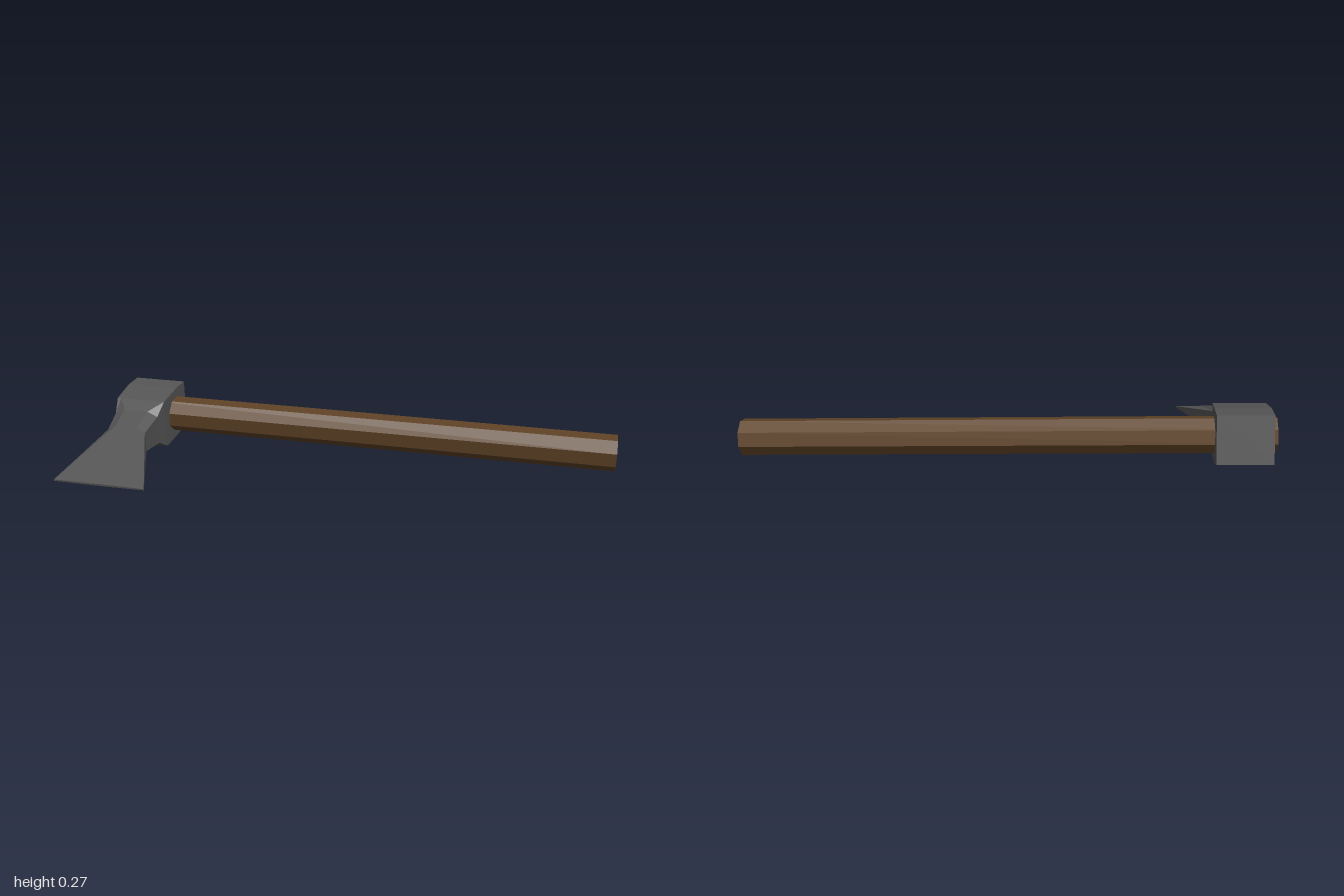
import * as THREE from 'three';

// Closed flat-shaded skin over rings of equal point count, ordered along +z
function loft(rings) {
  const pos = [], idx = [], n = rings[0].length, last = (rings.length - 1) * n;
  rings.forEach(r => r.forEach(p => pos.push(...p)));
  for (let i = 0; i < rings.length - 1; i++) {
    for (let j = 0; j < n; j++) {
      const a = i * n + j, b = i * n + (j + 1) % n;
      idx.push(a, b, b + n, a, b + n, a + n);
    }
  }
  for (let j = 1; j < n - 1; j++) {
    idx.push(0, j + 1, j);
    idx.push(last, last + j, last + j + 1);
  }
  const g = new THREE.BufferGeometry();
  g.setAttribute('position', new THREE.Float32BufferAttribute(pos, 3));
  g.setIndex(idx);
  const flat = g.toNonIndexed();
  flat.computeVertexNormals();
  return flat;
}

export function createModel() {
  const steel = new THREE.MeshStandardMaterial({ color: 0x555555, flatShading: true });
  const wood = new THREE.MeshStandardMaterial({ color: 0x5e4225, flatShading: true });

  // Local frame: x along the handle, y through the thickness, z toward the cutting edge
  const axe = new THREE.Group();
  axe.name = 'axe';

  // Octagonal handle, poking slightly out of the far side of the head
  const start = -0.14, end = 2.115;
  const handleGeo = new THREE.CylinderGeometry(0.079, 0.079, end - start, 8);
  handleGeo.rotateY(Math.PI / 8).rotateZ(-Math.PI / 2).translate((start + end) / 2, 0, 0);
  const handle = new THREE.Mesh(handleGeo, wood);
  handle.name = 'handle';
  axe.add(handle);

  // Head sections: z, x min, x max, half height at sides, rib x min, rib x max, half height at rib
  const sections = [
    [-0.135, -0.117, 0.117, 0.102, -0.1, 0.1, 0.102],
    [-0.03, -0.117, 0.117, 0.115, -0.1, 0.1, 0.115],
    [0.12, -0.112, 0.112, 0.112, -0.095, 0.095, 0.112],
    [0.185, -0.1, 0.1, 0.065, -0.055, 0.055, 0.088],
    [0.31, -0.087, 0.087, 0.045, -0.05, 0.05, 0.068],
    [0.715, -0.164, 0.235, 0.003, -0.05, 0.12, 0.004],
  ];
  const rings = sections.map(([z, x0, x1, s, c0, c1, t]) => [
    [x1, s, z], [c1, t, z], [c0, t, z], [x0, s, z],
    [x0, -s, z], [c0, -t, z], [c1, -t, z], [x1, -s, z],
  ]);
  const head = new THREE.Mesh(loft(rings), steel);
  head.name = 'axeHead';
  axe.add(head);

  // Lay the axe down, resting on the cutting edge and the handle end
  const u = new THREE.Vector3(0.608, -0.026, 0.793).normalize();
  const v = new THREE.Vector3(-0.78, -0.18, 0.598);
  v.addScaledVector(u, -v.dot(u)).normalize();
  const w = new THREE.Vector3().crossVectors(v, u);
  axe.quaternion.setFromRotationMatrix(new THREE.Matrix4().makeBasis(u, w, v));
  axe.position.set(-0.345, 0.137, -0.772);

  const model = new THREE.Group();
  model.add(axe);
  return model;
}
